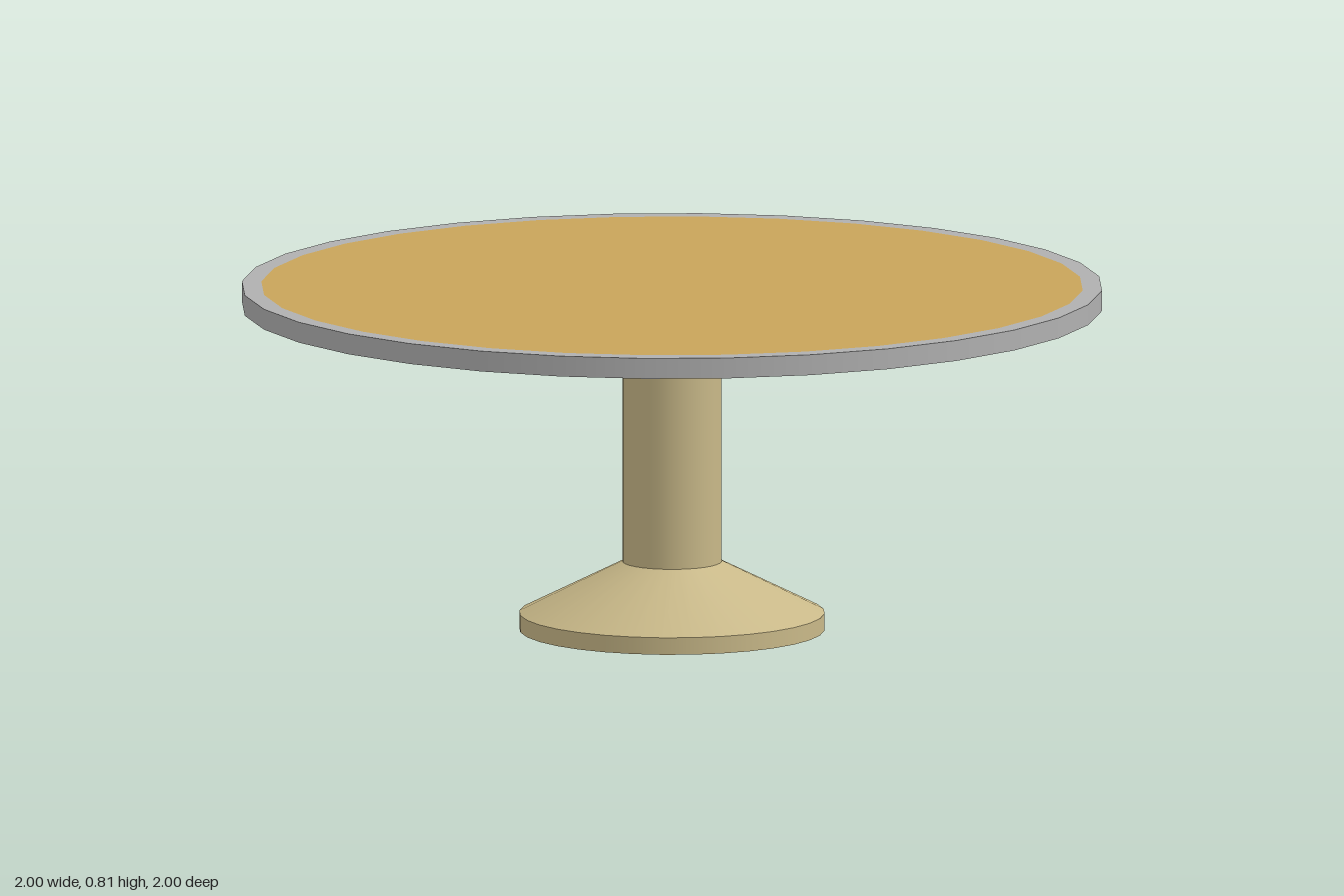
import * as THREE from 'three';

const SIDES = 32;

export function createModel() {
  const model = new THREE.Group();
  model.name = 'roundTable';

  const material = (name, color) => {
    const m = new THREE.MeshStandardMaterial({ color });
    m.name = name;
    return m;
  };
  const wood = material('wood', 0xc8a45a);
  const trim = material('greyTrim', 0xb0b0b0);
  const tan = material('tanPedestal', 0xc8b888);

  const add = (name, geometry, mat, y, parent = model) => {
    const mesh = new THREE.Mesh(geometry, mat);
    mesh.name = name;
    mesh.position.y = y;
    parent.add(mesh);
    return mesh;
  };

  // Open round section between two heights
  const section = (name, bottomR, topR, y0, y1, mat, parent) =>
    add(name, new THREE.CylinderGeometry(topR, bottomR, y1 - y0, SIDES, 1, true), mat, (y0 + y1) / 2, parent);

  // Flat disc facing up (dir 1) or down (dir -1)
  const disc = (name, r, y, dir, mat, parent) =>
    add(name, new THREE.CircleGeometry(r, SIDES).rotateX(-dir * Math.PI / 2), mat, y, parent);

  // Pedestal: foot, column and flared support
  const pedestal = new THREE.Group();
  pedestal.name = 'pedestal';
  model.add(pedestal);
  disc('footBottom', 0.355, 0, -1, tan, pedestal);
  section('footEdge', 0.355, 0.355, 0, 0.04, tan, pedestal);
  section('footSlope', 0.355, 0.115, 0.04, 0.16, tan, pedestal);
  section('column', 0.115, 0.115, 0.16, 0.61, tan, pedestal);
  section('flaredSupport', 0.115, 0.475, 0.61, 0.76, tan, pedestal);

  // Table top: wooden faces with a grey edge band
  const top = new THREE.Group();
  top.name = 'tableTop';
  model.add(top);
  disc('underside', 1, 0.76, -1, wood, top);
  section('edgeBand', 1, 1, 0.76, 0.808, trim, top);
  add('rimRing', new THREE.RingGeometry(0.955, 1, SIDES).rotateX(-Math.PI / 2), trim, 0.808, top);
  disc('surface', 0.955, 0.808, 1, wood, top);

  // Turn so the sides' corners lie on the axes
  top.rotation.y = 0;
  return model;
}
